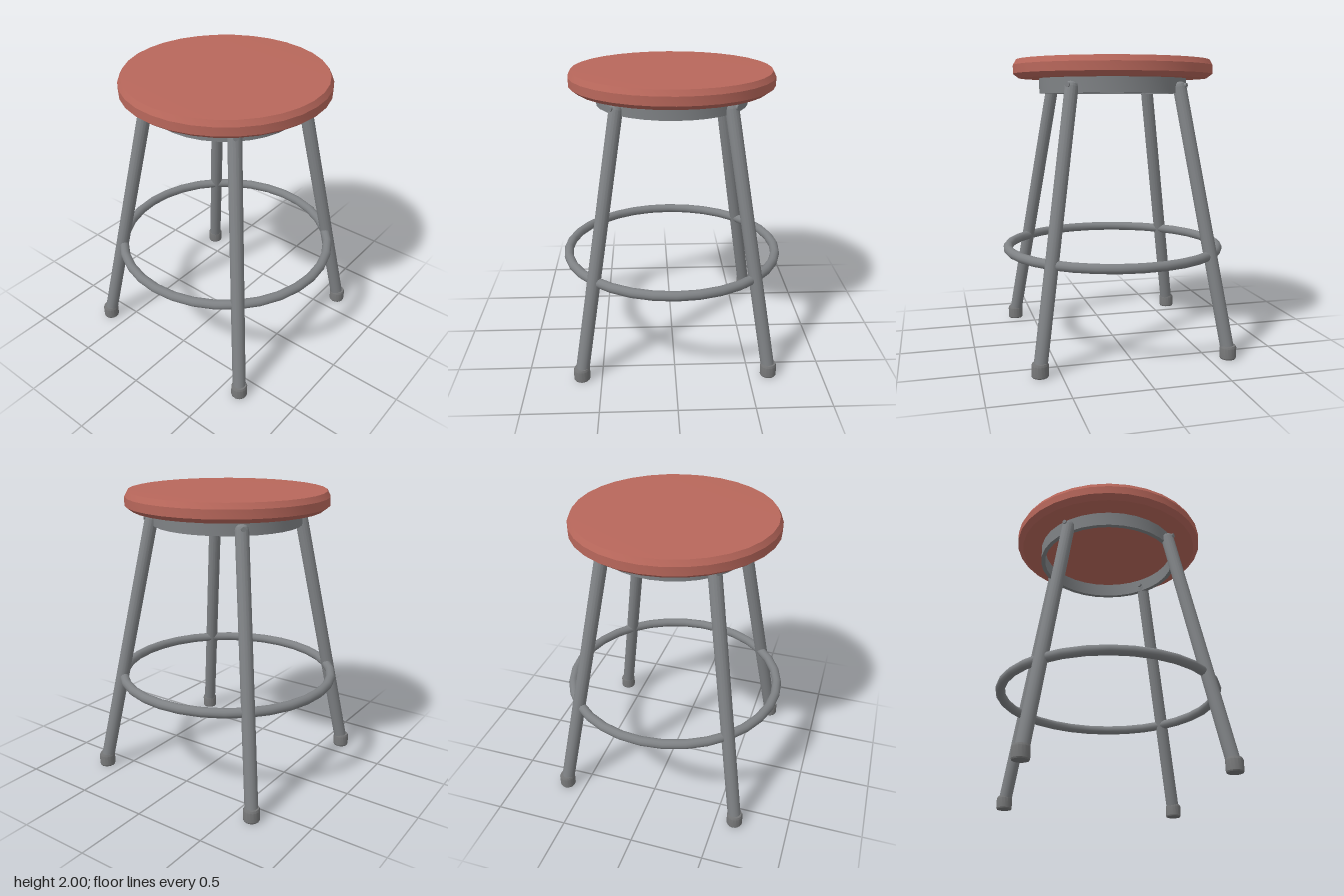
import * as THREE from 'three';
import { toCreasedNormals } from 'three/addons/utils/BufferGeometryUtils.js';

const seatRed = new THREE.MeshStandardMaterial({ name: 'seatRed', color: 0xb8675b });
const steelGrey = new THREE.MeshStandardMaterial({ name: 'steelGrey', color: 0x7f8285 });
const footGrey = new THREE.MeshStandardMaterial({ name: 'footGrey', color: 0x767778 });

const CREASE = 0.45;

function part(name, geometry, material) {
  const mesh = new THREE.Mesh(geometry, material);
  mesh.name = name;
  return mesh;
}

// Turned part from [radius, height] pairs, with sharp edges kept
function turned(name, points, sides, material) {
  const profile = points.map(([r, y]) => new THREE.Vector2(r, y));
  return part(name, toCreasedNormals(new THREE.LatheGeometry(profile, sides), CREASE), material);
}

// One leg in the x-y plane, leaning outwards along +x
function createLeg() {
  const leg = new THREE.Group();
  const top = new THREE.Vector3(0.515, 1.80, 0);
  const bottom = new THREE.Vector3(0.897, 0.04, 0);
  const axis = top.clone().sub(bottom);
  const length = axis.length();

  // Tube with a rounded upper end
  const tube = turned('legTube', [
    [0, 0], [0.045, 0], [0.045, length], [0.039, length + 0.018],
    [0.024, length + 0.031], [0, length + 0.036],
  ], 16, steelGrey);
  tube.position.copy(bottom);
  tube.quaternion.setFromUnitVectors(new THREE.Vector3(0, 1, 0), axis.normalize());

  // Upright foot cap with a chamfered rim
  const foot = turned('footCap', [
    [0, 0], [0.051, 0], [0.055, 0.008], [0.055, 0.076], [0.049, 0.09], [0, 0.09],
  ], 16, footGrey);
  foot.position.x = 0.897;

  // Rivet through the leg and apron
  const rivet = part('rivet', new THREE.CylinderGeometry(0.016, 0.016, 0.11, 10), steelGrey);
  rivet.rotation.z = Math.PI / 2;
  rivet.position.set(0.512, 1.81, 0);

  leg.add(tube, foot, rivet);
  return leg;
}

export function createModel() {
  const stool = new THREE.Group();
  stool.name = 'stool';

  // Round seat with bevelled edges and a very slight crown
  stool.add(turned('seat', [
    [0, 1.862], [0.65, 1.862], [0.69, 1.892], [0.69, 1.95], [0.67, 1.987], [0, 2],
  ], 32, seatRed));

  // Hollow apron under the seat
  stool.add(turned('apron', [
    [0.48, 1.865], [0.48, 1.76], [0.51, 1.76], [0.51, 1.865],
  ], 32, steelGrey));

  // Four splayed legs on the diagonals
  for (let i = 0; i < 4; i++) {
    const leg = createLeg();
    leg.name = 'leg' + (i + 1);
    leg.rotation.y = Math.PI / 4 + i * Math.PI / 2;
    stool.add(leg);
  }

  // Footrest ring joining the legs
  const ring = part('footrestRing', new THREE.TorusGeometry(0.747, 0.033, 12, 32), steelGrey);
  ring.rotation.x = Math.PI / 2;
  ring.position.y = 0.683;
  stool.add(ring);

  return stool;
}
